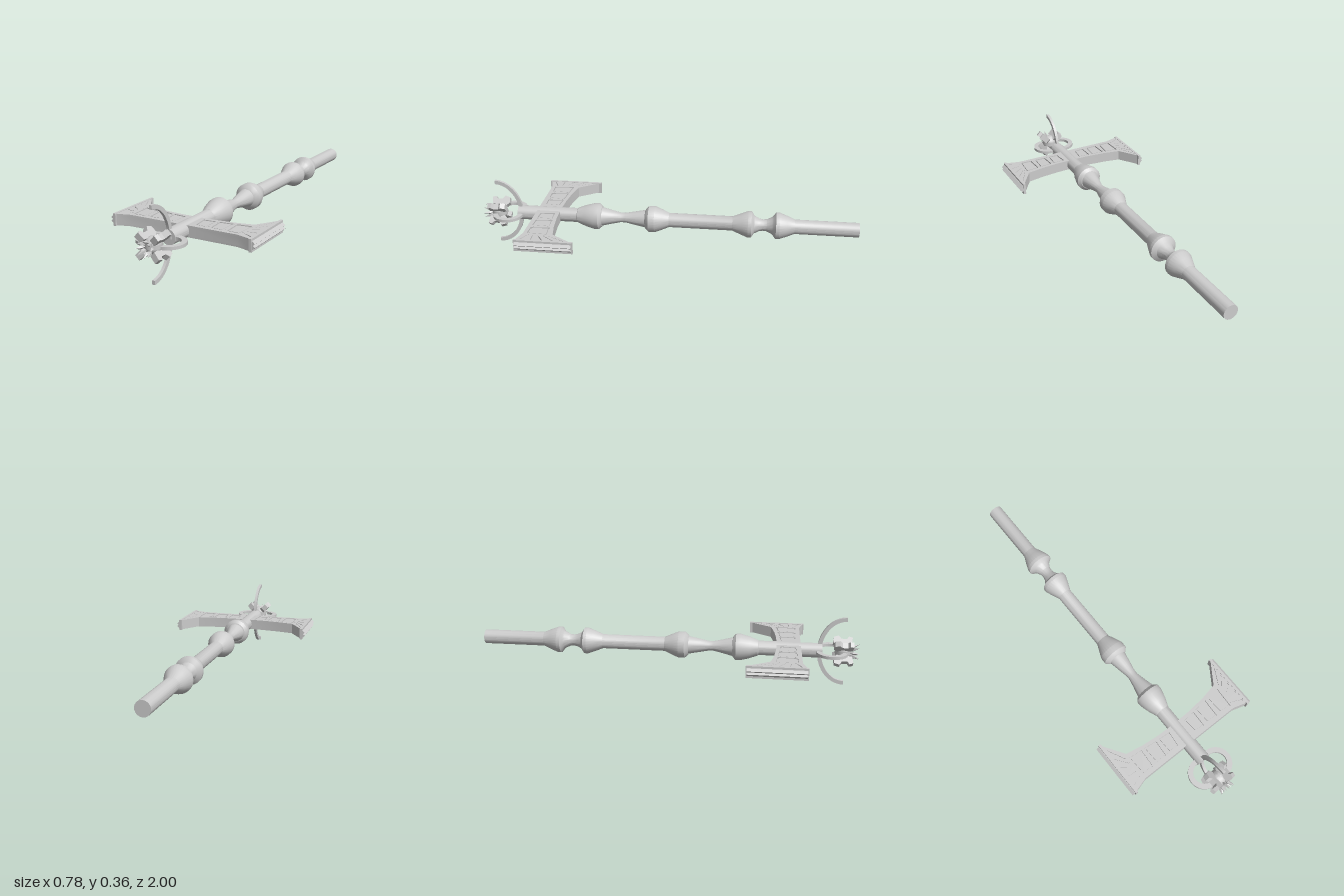
import * as THREE from 'three';
import { toCreasedNormals } from 'three/addons/utils/BufferGeometryUtils.js';

const AXIS_Y = 0.182;
const material = new THREE.MeshStandardMaterial({ color: 0xcccccc });

function part(name, geometry, crease = 0.6) {
  const mesh = new THREE.Mesh(toCreasedNormals(geometry, crease), material);
  mesh.name = name;
  return mesh;
}

const polygon = (pts) => new THREE.Shape(pts.map(([x, y]) => new THREE.Vector2(x, y)));

// Slab centred on its own plane
function slab(shape, thickness, curveSegments = 20) {
  const g = new THREE.ExtrudeGeometry(shape, { depth: thickness, bevelEnabled: false, curveSegments });
  return g.translate(0, 0, -thickness / 2);
}
const layFlat = (g) => g.rotateX(Math.PI / 2); // shape (x, y) becomes (x, z)
const standUp = (g) => g.rotateY(-Math.PI / 2); // shape (x, y) becomes (z, y)

// Curved flat band between two ellipses
function band(cx, cy, rx, ry, width, from, to) {
  const s = new THREE.Shape();
  s.absellipse(cx, cy, rx, ry, from, to, false);
  s.absellipse(cx, cy, rx - width, ry - width, to, from, true);
  return s;
}

// Shrinks a polygon towards its middle
function shrink(pts, k) {
  const mx = pts.reduce((a, p) => a + p[0], 0) / pts.length;
  const my = pts.reduce((a, p) => a + p[1], 0) / pts.length;
  return pts.map(([x, y]) => [mx + (x - mx) * k, my + (y - my) * k]);
}

function createBlade() {
  const blade = new THREE.Group();
  blade.name = 'blade';
  const outline = [[0.02, 0.577], [0.1, 0.575], [0.2, 0.565], [0.29, 0.548], [0.37, 0.43],
    [0.37, 0.725], [0.29, 0.702], [0.02, 0.702]];
  const panels = [
    [[0.05, 0.597], [0.115, 0.592], [0.112, 0.678], [0.058, 0.675]],
    [[0.132, 0.59], [0.202, 0.583], [0.198, 0.68], [0.138, 0.678]],
    [[0.218, 0.581], [0.292, 0.573], [0.286, 0.684], [0.224, 0.681]],
  ];
  // Thin grooves fanning across the flared end
  const rays = [0, 1, 2, 3, 4].map((i) => {
    const a = 0.565 + i * 0.027, b = 0.475 + i * 0.055;
    return [[0.308, a], [0.355, b], [0.355, b + 0.006], [0.308, a + 0.003]];
  });

  blade.add(part('bladeCore', layFlat(slab(polygon(outline), 0.042))));
  const skin = polygon(outline);
  for (const hole of [...panels, ...rays]) skin.holes.push(polygon(hole));
  for (const side of [-1, 1]) {
    blade.add(part('bladeSkin', layFlat(slab(skin, 0.008)).translate(0, side * 0.0245, 0)));
    for (const p of panels) {
      blade.add(part('inlaidPanel', layFlat(slab(polygon(shrink(p, 0.84)), 0.007)).translate(0, side * 0.0235, 0)));
    }
    // Rivets near the panels and flare
    for (const [x, z] of [[0.125, 0.6], [0.125, 0.67], [0.21, 0.595], [0.21, 0.67], [0.3, 0.59], [0.3, 0.67]]) {
      blade.add(part('rivet', new THREE.CylinderGeometry(0.003, 0.003, 0.004, 8).translate(x, side * 0.029, z)));
    }
  }

  // End plate and its twin cutting ridges
  blade.add(part('endPlate', new THREE.BoxGeometry(0.014, 0.061, 0.3).translate(0.367, 0, 0.58)));
  const ridge = polygon([[0.37, -0.022], [0.378, -0.018], [0.389, -0.008], [0.379, 0],
    [0.389, 0.008], [0.378, 0.018], [0.37, 0.022]]);
  blade.add(part('endRidges', slab(ridge, 0.29).translate(0, 0, 0.58), 0.2));
  return blade;
}

function createHead() {
  const head = new THREE.Group();
  head.name = 'head';

  // Tall crescent and the two side loops
  const crescent = band(0.93, 0, 0.143, 0.181, 0.02, Math.PI / 2, Math.PI * 1.5);
  head.add(part('crescent', standUp(slab(crescent, 0.015, 32))));
  for (const side of [-1, 1]) {
    const loop = band(0.04, 0.86, 0.081, 0.08, 0.026, -Math.PI * 0.66, Math.PI * 0.45);
    const g = layFlat(slab(loop, 0.015, 28));
    if (side < 0) g.rotateZ(Math.PI);
    head.add(part('sideLoop', g));
  }

  // Core with four diagonal claws
  head.add(part('core', new THREE.SphereGeometry(0.042, 20, 14).translate(0, 0, 0.918)));
  const claw = polygon([[0.868, 0.045], [0.872, 0.076], [0.897, 0.084], [0.91, 0.066], [0.938, 0.064],
    [0.948, 0.08], [0.968, 0.074], [0.962, 0.035], [0.885, 0.028]]);
  for (let i = 0; i < 4; i++) {
    head.add(part('claw', standUp(slab(claw, 0.03)).rotateZ(Math.PI * (0.25 + i * 0.5))));
  }

  // Ring of faceted spikes splaying forwards
  for (let i = 0; i < 8; i++) {
    const spike = new THREE.OctahedronGeometry(1).scale(0.009, 0.009, 0.032)
      .rotateX(-0.42).translate(0, 0.027, 0.969).rotateZ((i * Math.PI) / 4);
    head.add(part('spike', spike, 0.1));
  }
  return head;
}

export function createModel() {
  const model = new THREE.Group();
  model.name = 'ceremonialStaff';

  // Turned shaft: radius against z
  const profile = [[0, -1], [0.038, -1], [0.038, -0.67], [0.055, -0.63], [0.07, -0.59], [0.07, -0.572],
    [0.053, -0.56], [0.045, -0.552], [0.032, -0.525], [0.03, -0.505], [0.034, -0.485], [0.047, -0.46],
    [0.055, -0.455], [0.07, -0.445], [0.07, -0.427], [0.056, -0.39], [0.04, -0.35], [0.038, -0.345],
    [0.038, -0.01], [0.055, 0.028], [0.07, 0.065], [0.07, 0.098], [0.053, 0.115], [0.047, 0.118],
    [0.035, 0.18], [0.026, 0.225], [0.026, 0.25], [0.036, 0.295], [0.05, 0.35], [0.055, 0.352],
    [0.07, 0.367], [0.07, 0.392], [0.057, 0.44], [0.041, 0.482], [0.038, 0.485], [0.038, 0.81], [0, 0.81]];
  const shaft = new THREE.LatheGeometry(profile.map(([r, z]) => new THREE.Vector2(r, z)), 28);
  model.add(part('shaft', shaft.rotateX(Math.PI / 2), 0.4));

  // Matching blades on both sides
  const leftBlade = createBlade();
  const rightBlade = createBlade();
  rightBlade.rotation.z = Math.PI;
  model.add(leftBlade, rightBlade, createHead());

  for (const child of model.children) child.position.y = AXIS_Y;
  return model;
}
